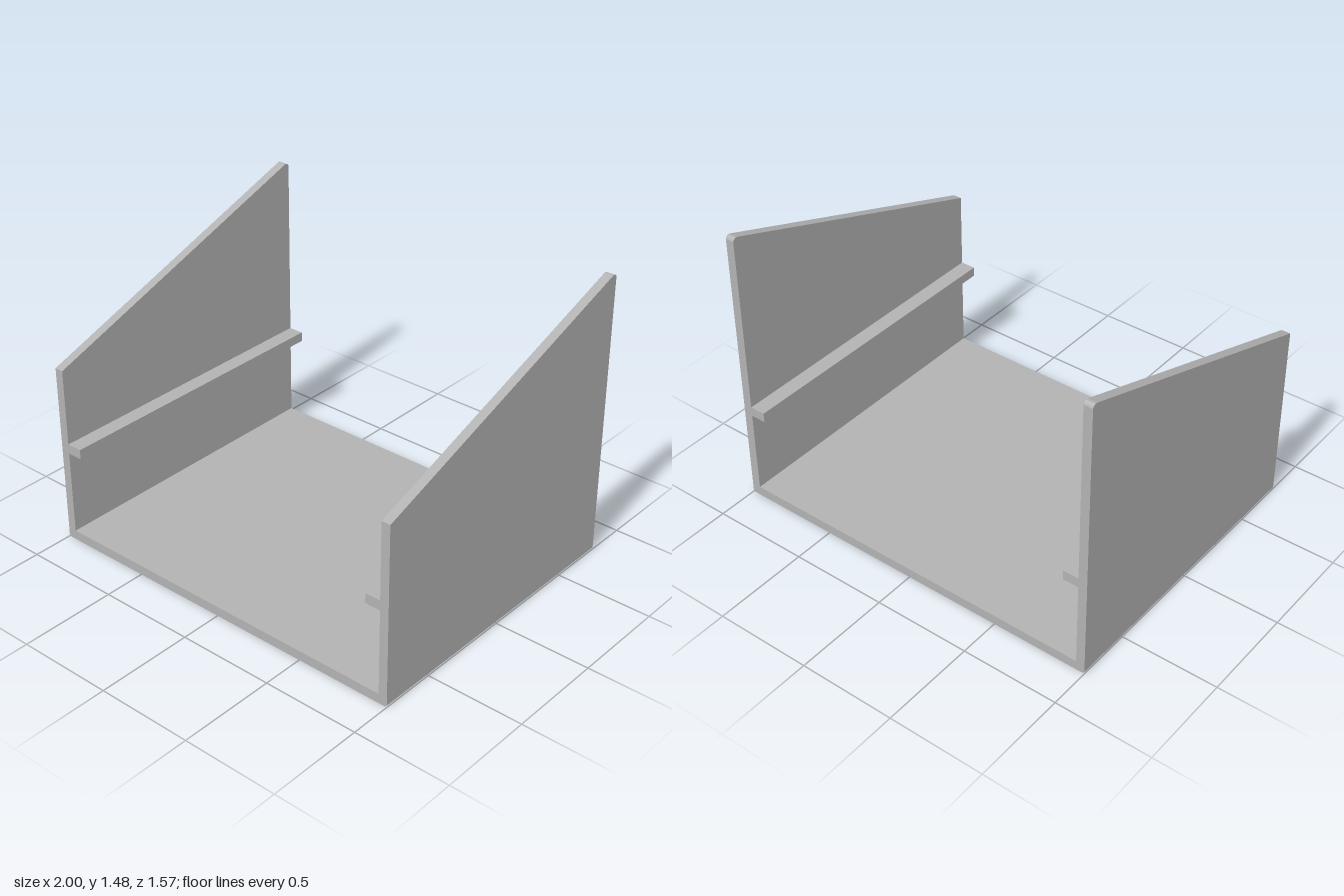
import * as THREE from 'three';

const HALF_DEPTH = 0.787, WALL = 0.046, FLOOR = 0.05;

function extrude(points, depth) {
  const shape = new THREE.Shape(points.map(([x, y]) => new THREE.Vector2(x, y)));
  return new THREE.ExtrudeGeometry(shape, { depth, bevelEnabled: false });
}

export function createModel() {
  const group = new THREE.Group();
  const grey = new THREE.MeshStandardMaterial({ color: 0xb2b2b2 });
  grey.name = 'light grey';

  const add = (name, geometry) => {
    const mesh = new THREE.Mesh(geometry, grey);
    mesh.name = name;
    group.add(mesh);
    return mesh;
  };

  // Floor plate with small chamfers along its lower outer edges
  const floor = extrude([
    [-0.99, 0], [0.99, 0], [1, 0.01], [1, FLOOR], [-1, FLOOR], [-1, 0.01],
  ], HALF_DEPTH * 2);
  floor.translate(0, 0, -HALF_DEPTH);
  add('floor', floor);

  // Side wall profile: sloped top rising to the back, clipped at the rear corner
  const profile = [
    [-HALF_DEPTH, FLOOR], [HALF_DEPTH, FLOOR], [HALF_DEPTH, 1.462],
    [0.782, 1.471], [0.772, 1.477], [0.76, 1.476], [-HALF_DEPTH, 0.935],
  ];

  for (const [label, side] of [['left', 1], ['right', -1]]) {
    const wall = extrude(profile, WALL);
    wall.rotateY(Math.PI / 2);
    wall.translate(side > 0 ? 1 - WALL : -1, 0, 0);
    add(label + 'Wall', wall);

    // Support rail on the inner face of the wall
    const rail = new THREE.BoxGeometry(0.08, 0.05, HALF_DEPTH * 2);
    rail.translate(side * (1 - WALL - 0.04), 0.515, 0);
    add(label + 'Rail', rail);
  }
  return group;
}
